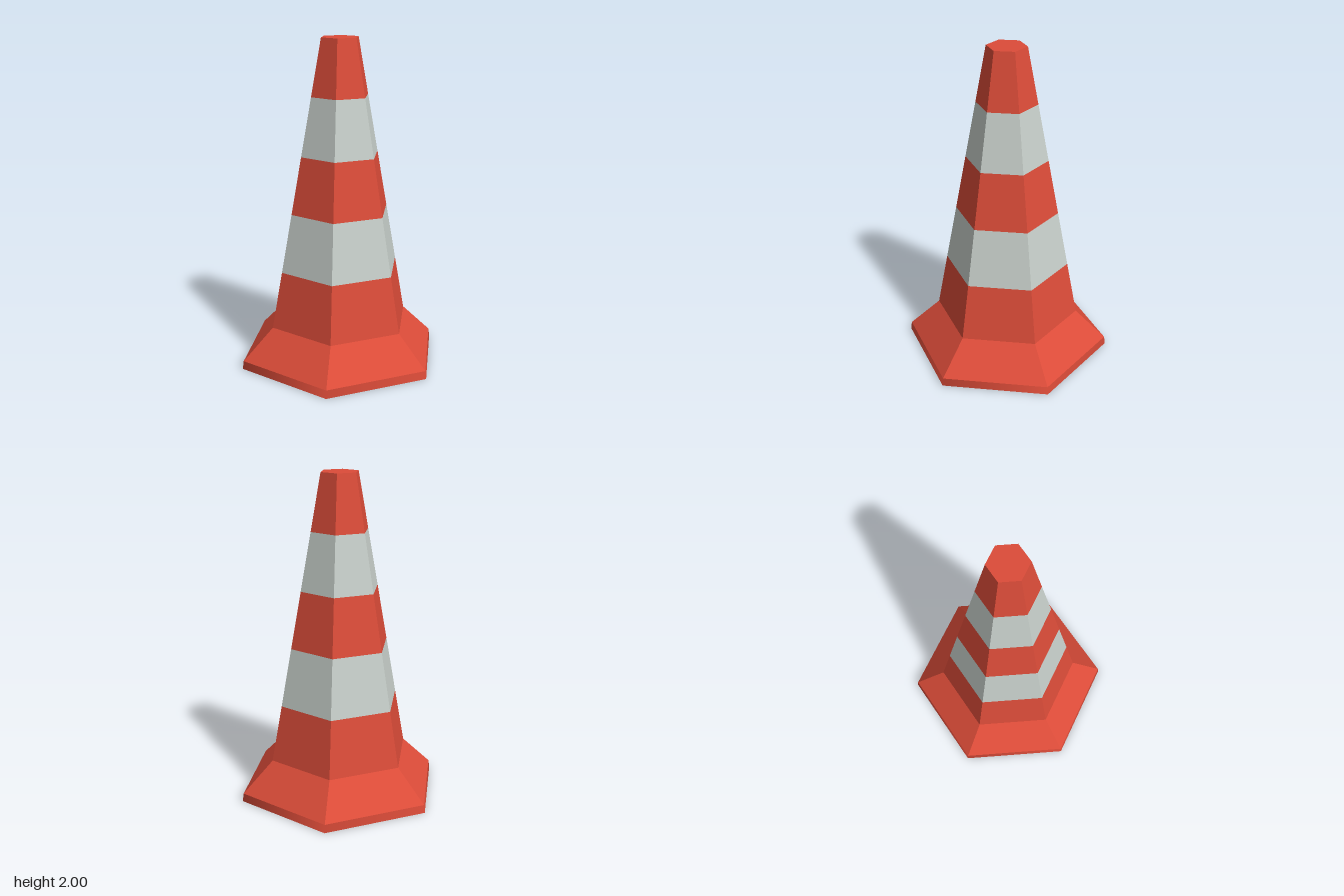
import * as THREE from 'three';

export function createModel() {
  const group = new THREE.Group();
  const red = new THREE.MeshStandardMaterial({ color: 0xdc4c39 });
  red.name = 'signal red';
  const grey = new THREE.MeshStandardMaterial({ color: 0xc8d0cb });
  grey.name = 'reflective grey';

  const add = (name, geometry, material, y = 0) => {
    const mesh = new THREE.Mesh(geometry, material);
    mesh.name = name;
    mesh.position.y = y;
    group.add(mesh);
    return mesh;
  };

  // Open six-sided section between two heights, with a corner facing front
  const section = (name, y0, r0, y1, r1, material, { flat = true, inward = false } = {}) => {
    let g = new THREE.CylinderGeometry(r1, r0, y1 - y0, 6, 1, true);
    if (inward) {
      const index = g.index.array;
      for (let i = 0; i < index.length; i += 3) [index[i], index[i + 1]] = [index[i + 1], index[i]];
    }
    if (flat) {
      g = g.toNonIndexed();
      g.computeVertexNormals();
    }
    return add(name, g, material, (y0 + y1) / 2);
  };

  // Base: softly shaded rim and sloping skirt
  section('baseRim', 0, 0.65, 0.05, 0.643, red, { flat: false });
  section('baseSkirt', 0.05, 0.643, 0.24, 0.45, red);

  // Tapering body in alternating bands
  const radiusAt = (y) => 0.45 - ((y - 0.24) * 0.33) / 1.76;
  const levels = [0.24, 0.59, 0.95, 1.3, 1.655, 2];
  for (let i = 0; i < levels.length - 1; i++) {
    const [a, b] = [levels[i], levels[i + 1]];
    section(i % 2 ? 'reflectiveBand' : 'bodyBand', a, radiusAt(a), b, radiusAt(b), i % 2 ? grey : red);
  }

  // Flat top
  const cap = add('topCap', new THREE.CircleGeometry(0.12, 6, Math.PI / 2), red, 2);
  cap.rotation.x = -Math.PI / 2;

  // Underside: red foot ring around a shallow grey recess
  const ring = add('footRing', new THREE.RingGeometry(0.525, 0.65, 6, 1, Math.PI / 2), red);
  ring.rotation.x = Math.PI / 2;
  section('recessWall', 0, 0.525, 0.07, 0.465, grey, { inward: true });
  const ceiling = add('recessCeiling', new THREE.CircleGeometry(0.465, 6, Math.PI / 2), grey, 0.07);
  ceiling.rotation.x = Math.PI / 2;

  return group;
}
